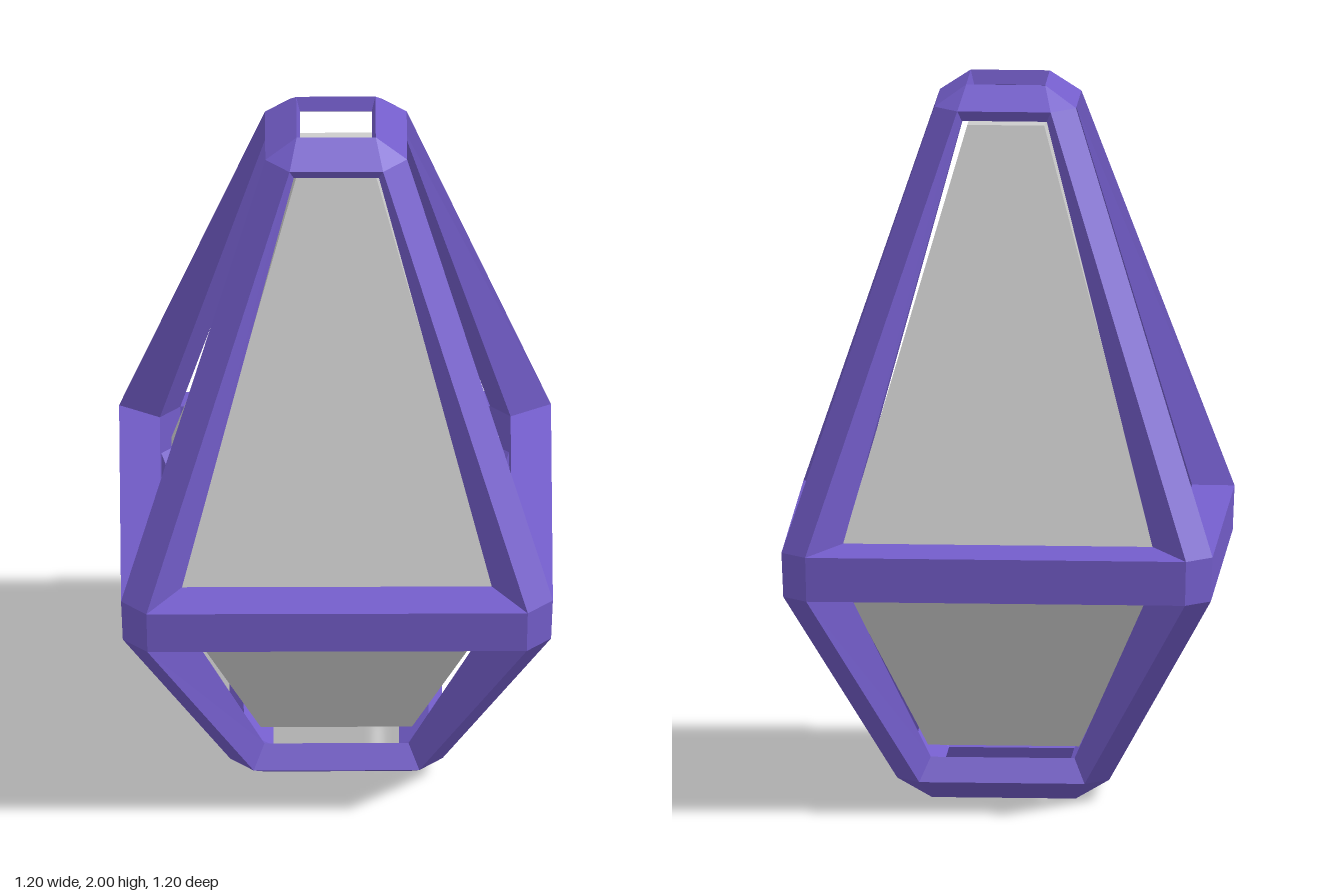
import * as THREE from 'three';

// Frame corner points for the front sector (x > 0 side): outer position,
// plus the horizontal scale and height of the matching inner point.
const CORNERS = {
  top:      { p: [0.11, 2.0, 0.11],    s: 0.91, y: 1.96 },
  topSide:  { p: [0.13, 1.94, 0.197],  s: 0.91, y: 1.91 },
  midHigh:  { p: [0.53, 0.75, 0.6],    s: 0.812, y: 0.77 },
  midLow:   { p: [0.527, 0.625, 0.595], s: 0.812, y: 0.655 },
  lowSide:  { p: [0.23, 0.06, 0.295],  s: 0.87, y: 0.125 },
  low:      { p: [0.2, 0.0, 0.2],      s: 0.87, y: 0.07 },
};

// mode: 'R' right corner, 'L' mirrored corner, 'S' right corner on the neighbouring side
function point(name, mode, inner) {
  const { p, s, y } = CORNERS[name];
  const k = inner ? s : 1;
  const x = p[0] * k, z = p[2] * k, h = inner ? y : p[1];
  if (mode === 'L') return [-x, h, z];
  if (mode === 'S') return [z, h, x];
  return [x, h, z];
}

// Flat-shaded geometry from convex polygons, counter-clockwise from outside
function polygonGeometry(polygons) {
  const pos = [];
  for (const poly of polygons)
    for (let i = 1; i < poly.length - 1; i++) pos.push(...poly[0], ...poly[i], ...poly[i + 1]);
  const g = new THREE.BufferGeometry();
  g.setAttribute('position', new THREE.Float32BufferAttribute(pos, 3));
  g.computeVertexNormals();
  return g;
}

// One quarter of the frame: ring bars, corner bars and the walls of the openings
function frameSector() {
  const polys = [];
  const skin = (list) => {
    polys.push(list.map(([n, m]) => point(n, m, false)));
    polys.push(list.map(([n, m]) => point(n, m, true)).reverse());
  };
  // wall from the outer edge a-b to the inner edge, facing into the opening
  const wall = (a, b) => polys.push(
    [point(...a, false), point(...b, false), point(...b, true), point(...a, true)]);

  // horizontal bars
  for (const [hi, lo] of [['top', 'topSide'], ['midHigh', 'midLow'], ['lowSide', 'low']])
    skin([[lo, 'L'], [lo, 'R'], [hi, 'R'], [hi, 'L']]);

  // corner bars and joints
  for (const [hi, lo] of [['topSide', 'midHigh'], ['midHigh', 'midLow'], ['midLow', 'lowSide']])
    skin([[lo, 'R'], [lo, 'S'], [hi, 'S'], [hi, 'R']]);
  skin([['topSide', 'R'], ['topSide', 'S'], ['top', 'R']]);
  skin([['low', 'R'], ['lowSide', 'S'], ['lowSide', 'R']]);

  // walls of the two side openings
  for (const [hi, lo] of [['topSide', 'midHigh'], ['midLow', 'lowSide']]) {
    const loop = [[lo, 'L'], [lo, 'R'], [hi, 'R'], [hi, 'L']];
    loop.forEach((c, i) => wall(c, loop[(i + 1) % 4]));
  }
  // walls of the top and bottom openings
  wall(['top', 'L'], ['top', 'R']);
  wall(['low', 'R'], ['low', 'L']);
  return polygonGeometry(polys);
}

// Closed square-sectioned core from [half width, height] levels
function coreGeometry(levels) {
  const ring = ([r, y]) => [[-r, y, r], [r, y, r], [r, y, -r], [-r, y, -r]];
  const rings = levels.map(ring);
  const polys = [[...rings[0]].reverse(), rings[rings.length - 1]];
  for (let l = 0; l < rings.length - 1; l++)
    for (let i = 0; i < 4; i++) {
      const j = (i + 1) % 4;
      polys.push([rings[l][i], rings[l][j], rings[l + 1][j], rings[l + 1][i]]);
    }
  return polygonGeometry(polys);
}

export function createModel() {
  const model = new THREE.Group();
  model.name = 'lantern';

  // coloured outer frame, four identical quarters
  const frame = new THREE.Group();
  frame.name = 'frame';
  const frameMaterial = new THREE.MeshStandardMaterial({
    color: 0x735dca, flatShading: true, side: THREE.DoubleSide });
  const sector = frameSector();
  for (let i = 0; i < 4; i++) {
    const quarter = new THREE.Mesh(sector, frameMaterial);
    quarter.name = 'frameQuarter' + (i + 1);
    quarter.rotation.y = i * Math.PI / 2;
    frame.add(quarter);
  }
  model.add(frame);

  // grey faceted core inside the frame
  const core = new THREE.Mesh(
    coreGeometry([[0.21, 0.15], [0.455, 0.69], [0.107, 1.885]]),
    new THREE.MeshStandardMaterial({ color: 0xcccccc, flatShading: true }));
  core.name = 'core';
  model.add(core);
  return model;
}
